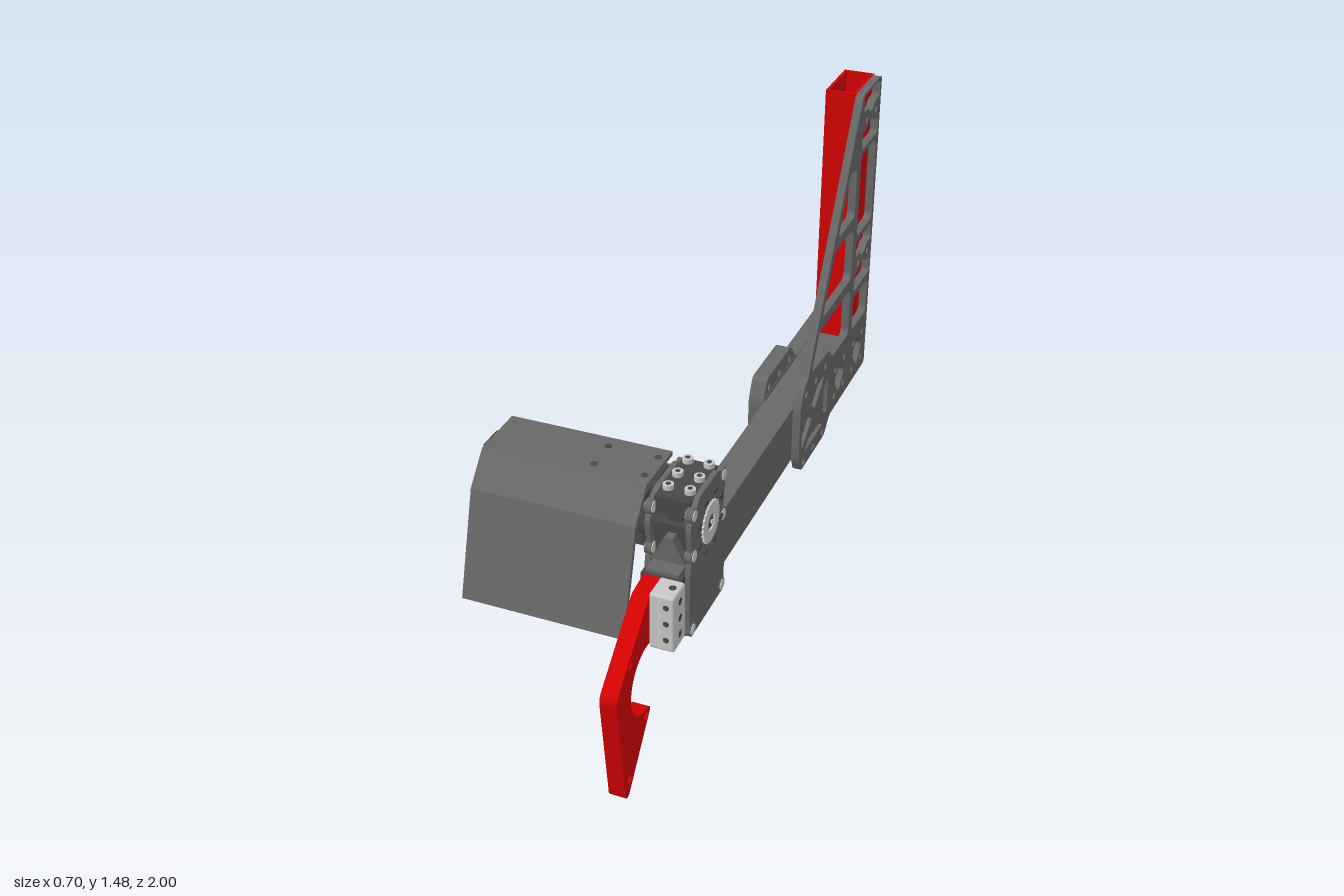
import * as THREE from 'three';
import { RoundedBoxGeometry } from 'three/addons/geometries/RoundedBoxGeometry.js';

const material = (name, color) => {
  const m = new THREE.MeshStandardMaterial({ color });
  m.name = name;
  return m;
};

// Closed path through [z, y] points with rounded corners
function rounded(path, pts, r) {
  const n = pts.length, v = pts.map(p => new THREE.Vector2(...p));
  v.forEach((c, i) => {
    const toward = q => {
      const d = q.clone().sub(c), len = d.length();
      return c.clone().addScaledVector(d, Math.min(r, len * 0.45) / len);
    };
    const a = toward(v[(i + n - 1) % n]), b = toward(v[(i + 1) % n]);
    if (i) path.lineTo(a.x, a.y); else path.moveTo(a.x, a.y);
    path.quadraticCurveTo(c.x, c.y, b.x, b.y);
  });
  path.closePath();
  return path;
}
const outline = (pts, r) => rounded(new THREE.Shape(), pts, r);
const cut = (pts, r) => rounded(new THREE.Path(), pts, r);
const circle = ([z, y, r]) => new THREE.Path().absarc(z, y, r, 0, Math.PI * 2, true);
const rect = (z0, z1, y0, y1) => [[z0, y0], [z1, y0], [z1, y1], [z0, y1]];
const polygon = pts => new THREE.Shape(pts.map(p => new THREE.Vector2(...p)));

export function createModel() {
  const model = new THREE.Group();
  const grey = material('machined grey', 0x686868);
  const dark = material('dark grey', 0x484848);
  const red = material('red', 0xd40202);
  const steel = material('light steel', 0xc8c8c8);

  const add = (name, geo, mat, x = 0, y = 0, z = 0) => {
    const mesh = new THREE.Mesh(geo, mat);
    mesh.name = name;
    mesh.position.set(x, y, z);
    model.add(mesh);
    return mesh;
  };
  const box = (name, x0, x1, y0, y1, z0, z1, mat) =>
    add(name, new THREE.BoxGeometry(x1 - x0, y1 - y0, z1 - z0), mat, (x0 + x1) / 2, (y0 + y1) / 2, (z0 + z1) / 2);
  // Plate drawn in the z-y plane, spanning x0..x1; outline wound counter-clockwise
  const plate = (name, shape, holes, x0, x1, mat) => {
    const pts = shape.getPoints(10);
    const wound = new THREE.Shape(THREE.ShapeUtils.isClockWise(pts) ? pts.reverse() : pts);
    wound.holes = holes;
    const geo = new THREE.ExtrudeGeometry(wound, { depth: x1 - x0, bevelEnabled: false, curveSegments: 10 });
    geo.rotateY(-Math.PI / 2).translate(x1, 0, 0);
    return add(name, geo, mat);
  };
  // Cylinder along the named axis
  const rod = (name, axis, r, len, x, y, z, mat, sides = 20) => {
    const geo = new THREE.CylinderGeometry(r, r, len, sides);
    if (axis === 'x') geo.rotateZ(Math.PI / 2);
    if (axis === 'z') geo.rotateX(Math.PI / 2);
    return add(name, geo, mat, x, y, z);
  };

  // Hollow post with through holes
  const holePairs = (ys, zs, r) => ys.flatMap(y => zs.map(z => circle([z, y, r])));
  for (const x of [0.22, 0.31]) {
    plate('postSide', polygon(rect(-1, -0.8, 0.415, 1.483)),
      holePairs([1.385, 0.875, 0.565, 0.465], [-0.95, -0.85], 0.012), x, x + 0.01, red);
  }
  for (const z of [-1, -0.81]) box('postWall', 0.23, 0.31, 0.415, 1.483, z, z + 0.01, red);

  // Arm tube
  box('arm', 0.221, 0.319, 0.416, 0.61, -0.8, 0.68, grey);

  // Openings shared by both side plates along the arm
  const jointHoles = () => [
    ...holePairs([0.642, 0.388], [-0.337, -0.435, -0.533], 0.013),
    ...holePairs([0.565, 0.465], [-0.95, -0.85, -0.75, -0.65], 0.013),
    cut([[-0.9, 0.455], [-0.845, 0.515], [-0.9, 0.575], [-0.955, 0.515]], 0.02),
    cut([[-0.7, 0.455], [-0.645, 0.515], [-0.7, 0.575], [-0.755, 0.515]], 0.02),
    cut([[-0.34, 0.61], [-0.53, 0.61], [-0.435, 0.535]], 0.015),
    cut([[-0.34, 0.42], [-0.53, 0.42], [-0.435, 0.495]], 0.015),
    cut([[-0.31, 0.585], [-0.41, 0.515], [-0.31, 0.445]], 0.015),
    cut([[-0.57, 0.585], [-0.46, 0.515], [-0.57, 0.445]], 0.015),
  ];
  const bulge = [[-0.315, 0.68], [-0.284, 0.61], [-0.284, 0.425], [-0.31, 0.365], [-0.555, 0.365], [-0.605, 0.415]];

  // Large triangular gusset; column windows reach between the screw pairs
  const lobed = (wide, narrow, tip) => [[-0.985, wide], [-0.985, narrow], [-0.94, narrow],
    [-0.92, tip], [-0.88, tip], [-0.86, narrow], [-0.815, narrow], [-0.815, wide]];
  plate('gussetPlate',
    outline([[-1, 0.415], [-1, 1.483], [-0.8, 1.483], [-0.375, 0.742], [-0.35, 0.69], ...bulge], 0.02),
    [
      ...jointHoles(),
      ...holePairs([1.385, 0.875], [-0.95, -0.85], 0.012),
      cut(lobed(1.475, 1.418, 1.398), 0.015), cut(lobed(1.29, 1.35, 1.372), 0.015),
      cut(lobed(0.965, 0.908, 0.888), 0.015), cut(lobed(0.78, 0.84, 0.862), 0.015),
      cut(rect(-0.98, -0.815, 0.985, 1.275), 0.025), cut(rect(-0.98, -0.815, 0.63, 0.755), 0.025),
      cut([[-0.775, 1.255], [-0.705, 1.255], [-0.6, 1.072], [-0.775, 1.072]], 0.03),
      cut([[-0.775, 1.035], [-0.577, 1.035], [-0.47, 0.848], [-0.775, 0.848]], 0.03),
      cut([[-0.775, 0.81], [-0.447, 0.81], [-0.385, 0.695], [-0.56, 0.685], [-0.61, 0.638], [-0.775, 0.638]], 0.02),
    ], 0.32, 0.346, grey);

  // Low joint plate on the other side, and floors of the crossed pockets
  plate('jointPlate',
    outline([[-1, 0.415], [-1, 0.612], [-0.605, 0.612], [-0.55, 0.68], ...bulge], 0.02),
    jointHoles(), 0.17, 0.22, grey);
  for (const [x0, x1] of [[0.195, 0.222], [0.318, 0.333]]) {
    box('pocketFloor', x0, x1, 0.405, 0.624, -0.58, -0.295, grey);
  }

  // Gearbox cheeks, bridges and screws
  const cheek = [[0.365, 0.36], [0.635, 0.36], [0.635, 0.58], [0.62, 0.64], [0.635, 0.74],
    [0.57, 0.805], [0.41, 0.805], [0.365, 0.74], [0.385, 0.64], [0.365, 0.58]];
  for (const x of [0.197, 0.319]) plate('gearboxCheek', outline(cheek, 0.03), [], x, x + 0.016, grey);
  box('gearboxTop', 0.213, 0.319, 0.748, 0.8, 0.39, 0.6, dark);
  box('gearboxBottom', 0.213, 0.319, 0.362, 0.416, 0.375, 0.625, dark);
  box('gearboxCore', 0.213, 0.319, 0.61, 0.715, 0.4, 0.6, dark);
  box('gearboxDivider', 0.245, 0.288, 0.715, 0.748, 0.42, 0.58, dark);
  for (const x of [0.235, 0.29]) box('bearingBlock', x - 0.014, x + 0.014, 0.65, 0.7, 0.39, 0.401, steel);
  // Wedge on top of the arm end
  const wedge = polygon([[0.213, 0.61], [0.319, 0.61], [0.28, 0.69], [0.255, 0.69]]);
  add('gearboxWedge', new THREE.ExtrudeGeometry(wedge, { depth: 0.03, bevelEnabled: false }), grey, 0, 0, 0.6);
  for (const z of [0.405, 0.48, 0.55]) for (const x of [0.235, 0.3]) {
    rod('topScrew', 'y', 0.016, 0.018, x, 0.806, z, steel);
    rod('topScrewSocket', 'y', 0.008, 0.004, x, 0.8145, z, dark, 6);
    rod('bottomScrew', 'y', 0.016, 0.022, x, 0.351, z, steel);
    rod('bottomScrewSocket', 'y', 0.008, 0.004, x, 0.3395, z, dark, 6);
  }
  for (const [z, y] of [[0.61, 0.77], [0.385, 0.77], [0.61, 0.635], [0.385, 0.635], [0.615, 0.385], [0.385, 0.385]]) {
    for (const x of [0.205, 0.327]) {
      rod('cheekBoss', 'x', 0.022, 0.02, x, y, z, grey);
      rod('cheekScrew', 'x', 0.017, 0.025, x, y, z, steel);
    }
  }
  for (let i = 0; i < 8; i++) {
    const a = (i + 0.5) * Math.PI / 4;
    rod('hubBolt', 'x', 0.009, 0.006, 0.337, 0.675 + 0.09 * Math.sin(a), 0.487 + 0.09 * Math.cos(a), dark, 12);
  }

  // Output hub with fine teeth and axle
  const teeth = new THREE.Shape();
  for (let i = 0; i < 48; i++) {
    const a = i / 48 * Math.PI * 2, r = i % 2 ? 0.06 : 0.066;
    teeth[i ? 'lineTo' : 'moveTo'](0.487 + r * Math.cos(a), 0.675 + r * Math.sin(a));
  }
  plate('outputHub', teeth, [circle([0.487, 0.675, 0.026])], 0.33, 0.341, steel);
  rod('axle', 'x', 0.018, 0.16, 0.26, 0.675, 0.487, dark, 6);
  rod('axleTip', 'x', 0.008, 0.006, 0.341, 0.675, 0.487, steel, 12);
  rod('innerGear', 'x', 0.09, 0.05, 0.18, 0.675, 0.487, dark, 28);

  // Motor with chamfered end cap, and its gear train
  rod('motorBody', 'x', 0.135, 0.24, -0.18, 0.675, 0.487, grey, 8).rotation.x = Math.PI / 8;
  const cap = polygon([[-0.295, 0.41], [-0.295, 0.58], [-0.33, 0.575], [-0.35, 0.53], [-0.35, 0.45], [-0.33, 0.415]]);
  const capGeo = new THREE.ExtrudeGeometry(cap, { depth: 0.23, bevelEnabled: false }).rotateX(Math.PI / 2);
  add('motorCap', capGeo, dark, 0, 0.79, 0);
  box('gearTrain', -0.06, 0.17, 0.6, 0.765, 0.39, 0.57, dark);
  box('gearTrainRib', 0.0, 0.175, 0.7, 0.75, 0.362, 0.39, grey);
  box('gearTrainFoot', 0.0, 0.12, 0.61, 0.66, 0.372, 0.39, grey);
  for (const x of [0.02, 0.08, 0.14]) rod('trainScrew', 'z', 0.01, 0.01, x, 0.68, 0.387, steel, 12);
  box('motorMount', 0.17, 0.197, 0.362, 0.41, 0.4, 0.6, dark);

  // Bent sheet guard over the motor
  plate('motorGuard', polygon([[0.385, 0.81], [0.575, 0.81], [0.655, 0.72], [0.747, 0.395],
    [0.732, 0.395], [0.641, 0.714], [0.568, 0.797], [0.385, 0.797]]), [], -0.33, 0.18, grey);
  for (const x of [0, 0.155]) for (const z of [0.43, 0.53]) rod('guardHole', 'y', 0.011, 0.004, x, 0.8095, z, dark, 16);
  for (const x of [-0.3, 0.15]) box('guardRib', x - 0.008, x + 0.008, 0.75, 0.798, 0.4, 0.56, dark);

  // Curved hook finger
  const hook = new THREE.Shape();
  hook.moveTo(0.69, 0.42);
  hook.lineTo(0.69, 0.6);
  hook.lineTo(0.775, 0.59);
  hook.lineTo(0.985, 0.41);
  hook.quadraticCurveTo(1.003, 0.395, 1.0, 0.37);
  hook.lineTo(0.952, 0.016);
  hook.quadraticCurveTo(0.94, -0.012, 0.92, 0.01);
  hook.lineTo(0.772, 0.195);
  hook.quadraticCurveTo(0.77, 0.213, 0.8, 0.215);
  hook.absarc(0.795, 0.325, 0.11, -Math.PI / 2, Math.PI * 0.55, false);
  plate('hookFinger', hook, [[0.905, 0.45, 0.012], [0.8, 0.193, 0.012], [0.92, 0.055, 0.012]].map(circle), 0.22, 0.271, red);

  // Finger bracket with bolt holes
  add('fingerBracket', new RoundedBoxGeometry(0.075, 0.185, 0.087, 2, 0.008), steel, 0.3085, 0.513, 0.735);
  box('bracketNeck', 0.21, 0.33, 0.44, 0.6, 0.66, 0.692, dark);
  for (const y of [0.46, 0.515, 0.57]) {
    rod('bracketSideHole', 'x', 0.011, 0.004, 0.345, y, 0.735, dark, 16);
    rod('bracketFrontHole', 'z', 0.009, 0.004, 0.322, y, 0.7775, dark, 16);
  }
  rod('bracketTopHole', 'y', 0.011, 0.004, 0.322, 0.6045, 0.73, dark, 16);

  return model;
}
